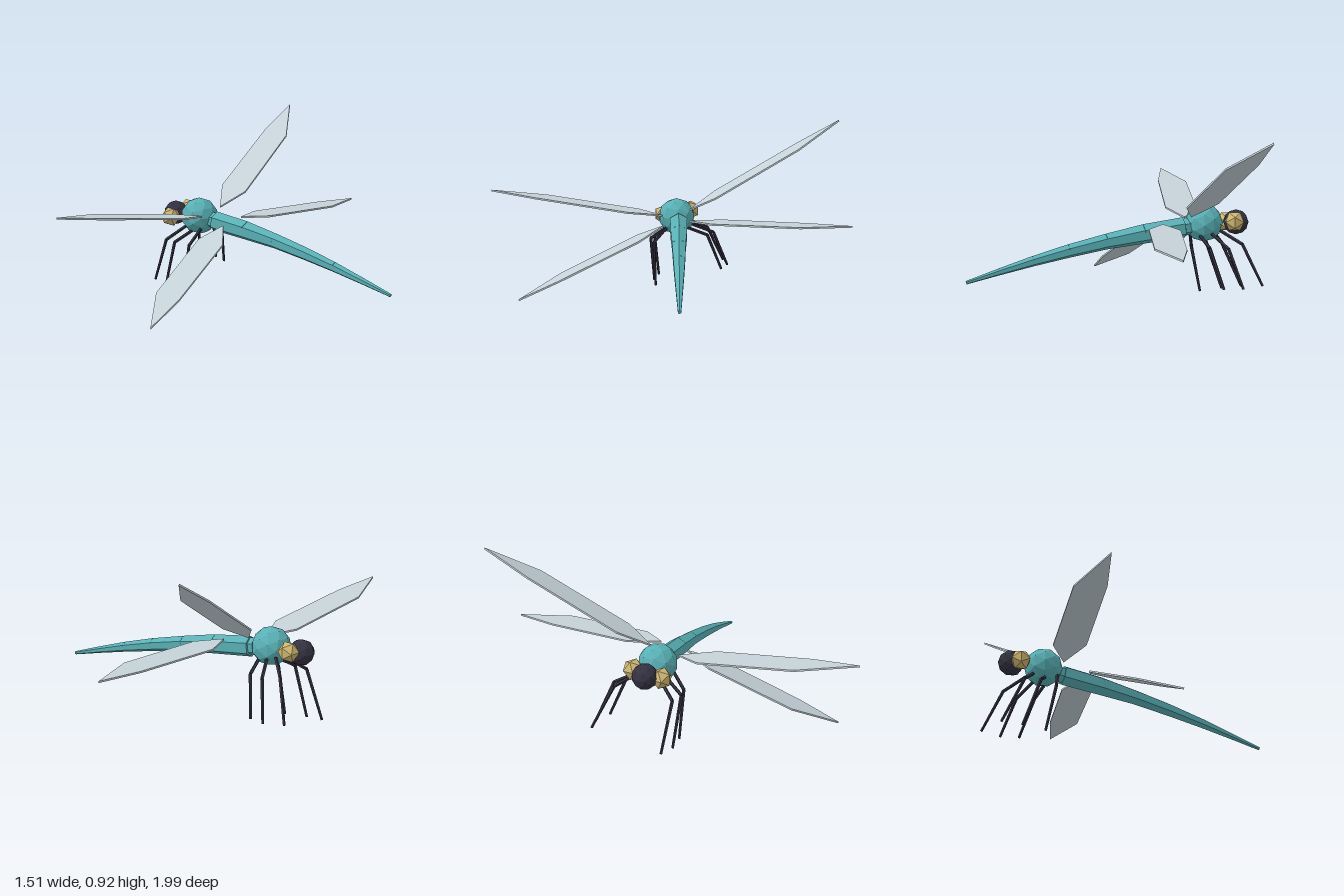
import * as THREE from 'three';

const mat = (name, color) => Object.assign(new THREE.MeshStandardMaterial({ color, flatShading: true }), { name });
const V = (p) => new THREE.Vector3(...p);

export function createModel() {
  const model = new THREE.Group();
  model.name = 'dragonfly';
  const teal = mat('teal body', 0x58b0b5);
  const gold = mat('gold eyes', 0xcdb671);
  const dark = mat('dark shell', 0x343242);
  const pale = mat('pale wing', 0xc4d1d7);

  const add = (name, geometry, material, parent = model) => {
    const mesh = new THREE.Mesh(geometry, material);
    mesh.name = name;
    parent.add(mesh);
    return mesh;
  };

  // Faceted ball
  const ball = (name, radius, detail, material, pos) =>
    add(name, new THREE.IcosahedronGeometry(radius, detail), material).position.set(...pos);

  // Tapered rod between two points, with one corner of its section facing up
  const rod = (name, from, to, r0, r1, sides, material, parent) => {
    const a = V(from), b = V(to);
    const y = b.clone().sub(a);
    const length = y.length();
    y.normalize();
    const ref = Math.abs(y.y) > 0.9 ? V([0, 0, 1]) : V([0, 1, 0]);
    const x = y.clone().cross(ref).normalize();
    const z = x.clone().cross(y);
    const mesh = add(name, new THREE.CylinderGeometry(r1, r0, length, sides), material, parent);
    mesh.quaternion.setFromRotationMatrix(new THREE.Matrix4().makeBasis(x, y, z));
    mesh.position.copy(a).add(b).multiplyScalar(0.5);
  };

  // Thorax, head and eyes
  ball('thorax', 0.1, 1, teal, [-0.455, 0.403, -0.016]);
  ball('head', 0.066, 1, dark, [-0.625, 0.4, 0.022]);
  ball('leftEye', 0.055, 0, gold, [-0.58, 0.39, 0.088]);
  ball('rightEye', 0.055, 0, gold, [-0.612, 0.416, -0.055]);

  // Tail: tapering six-sided segments along a drooping line
  const tail = new THREE.Group();
  tail.name = 'tail';
  model.add(tail);
  const stations = [ // x, y, radius
    [-0.35, 0.384, 0.054], [-0.145, 0.359, 0.051], [0.045, 0.328, 0.041], [0.235, 0.288, 0.035],
    [0.415, 0.244, 0.027], [0.585, 0.197, 0.018], [0.75, 0.149, 0.009],
  ];
  const tailPoint = ([x, y]) => [x, y, -0.053 - 0.243 * (x + 0.35)];
  rod('waist', [-0.42, 0.394, -0.03], tailPoint(stations[0]), 0.045, 0.045, 6, teal, tail);
  for (let i = 0; i < stations.length - 1; i++) {
    const s = stations[i], e = stations[i + 1];
    rod('tailSegment' + (i + 1), tailPoint(s), tailPoint(e), s[2], e[2], 6, teal, tail);
  }

  // Wings: one leaf outline, set along root-to-tip with its broad edge given
  const wing = (name, root, tip, broad, width) => {
    const x = V(tip).sub(V(root));
    const length = x.length();
    x.normalize();
    const z = x.clone().cross(V(broad)).normalize();
    const y = z.clone().cross(x);
    const outline = [[0, 0], [0.19, -0.076], [0.733, -0.048], [1, 0], [0.693, 0.108], [0.151, 0.088]];
    const shape = new THREE.Shape(outline.map(([u, v]) => new THREE.Vector2(u * length, v * width)));
    const geometry = new THREE.ExtrudeGeometry(shape, { depth: 0.009, bevelEnabled: false });
    geometry.translate(0, 0, -0.0045);
    const mesh = add(name, geometry, pale);
    mesh.quaternion.setFromRotationMatrix(new THREE.Matrix4().makeBasis(x, y, z));
    mesh.position.set(...root);
  };
  wing('rightFrontWing', [-0.385, 0.45, -0.105], [-0.725, 0.926, -0.868], [0.91, 0, -0.41], 1);
  wing('rightRearWing', [-0.24, 0.412, -0.138], [-0.315, 0.407, -1], [1, 0, -0.09], 0.96);
  wing('leftFrontWing', [-0.357, 0.418, 0.04], [-0.25, 0.538, 0.99], [-1, 0, 0.11], 1);
  wing('leftRearWing', [-0.214, 0.384, 0], [0.135, 0.015, 0.7], [-0.91, 0, 0.41], 0.96);

  // Legs: hip, knee, foot
  const legs = {
    leftFrontLeg: [[-0.51, 0.345, 0.03], [-0.558, 0.27, 0.136], [-0.667, 0.028, 0.138]],
    leftMiddleLeg: [[-0.45, 0.33, 0.03], [-0.477, 0.27, 0.136], [-0.563, 0.016, 0.138]],
    leftRearLeg: [[-0.385, 0.345, 0.025], [-0.396, 0.26, 0.098], [-0.445, 0.01, 0.1]],
    rightFrontLeg: [[-0.54, 0.37, -0.07], [-0.648, 0.315, -0.15], [-0.748, 0.113, -0.22]],
    rightMiddleLeg: [[-0.49, 0.36, -0.08], [-0.575, 0.3, -0.2], [-0.648, 0.105, -0.265]],
    rightRearLeg: [[-0.43, 0.35, -0.07], [-0.48, 0.3, -0.185], [-0.55, 0.1, -0.25]],
  };
  for (const [name, [hip, knee, foot]] of Object.entries(legs)) {
    const leg = new THREE.Group();
    leg.name = name;
    model.add(leg);
    rod('upperLeg', hip, knee, 0.009, 0.009, 5, dark, leg);
    rod('lowerLeg', knee, foot, 0.009, 0.007, 5, dark, leg);
  }
  return model;
}
